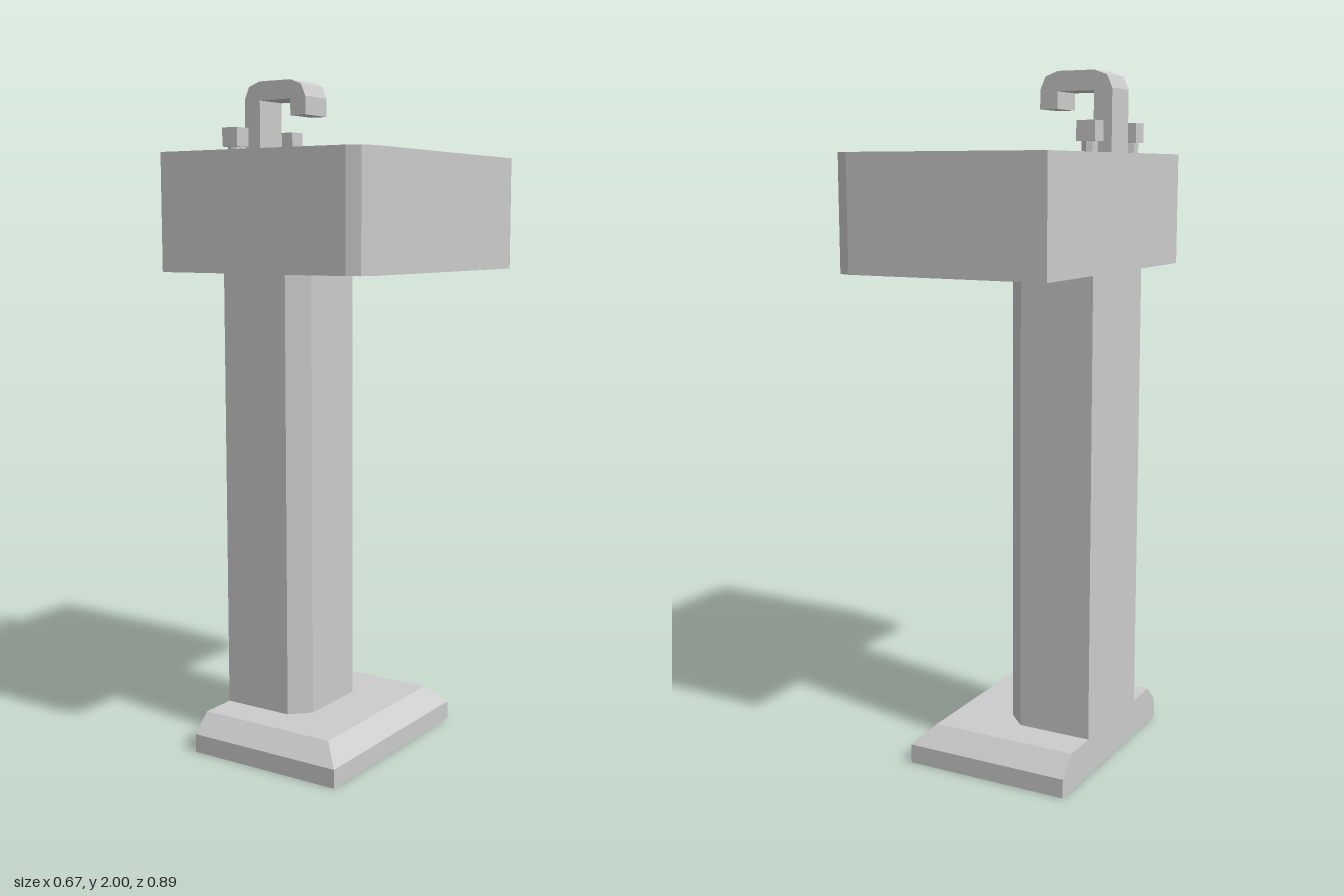
import * as THREE from 'three';

const material = new THREE.MeshStandardMaterial({ color: 0xcccccc, flatShading: true });
const BACK = -0.333;

function part(group, name, geometry, x = 0, y = 0, z = 0) {
  const mesh = new THREE.Mesh(geometry, material);
  mesh.name = name;
  mesh.position.set(x, y, z);
  group.add(mesh);
  return mesh;
}

// Corner points [x, z] of a rectangle, symmetric in z
const rect = (x0, x1, z) => [[x0, z], [x1, z], [x1, -z], [x0, -z]];

// Outline flat at the back; front corners follow the given +z side points
const mirrored = (half) => [...half, ...half.slice().reverse().map(([x, z]) => [x, -z])];

// Skin between horizontal outlines [points, y], optionally closed at either end
function loft(rings, capStart, capEnd) {
  const pos = [];
  const add = ([x, z], y) => pos.push(x, y, z);
  const n = rings[0][0].length;
  for (let r = 0; r < rings.length - 1; r++) {
    const [a, ya] = rings[r], [b, yb] = rings[r + 1];
    for (let i = 0; i < n; i++) {
      const j = (i + 1) % n;
      add(a[i], ya); add(a[j], ya); add(b[j], yb);
      add(a[i], ya); add(b[j], yb); add(b[i], yb);
    }
  }
  const [s, ys] = rings[0], [e, ye] = rings[rings.length - 1];
  for (let i = 1; i < n - 1; i++) {
    if (capStart) { add(s[0], ys); add(s[i + 1], ys); add(s[i], ys); }
    if (capEnd) { add(e[0], ye); add(e[i], ye); add(e[i + 1], ye); }
  }
  const g = new THREE.BufferGeometry();
  g.setAttribute('position', new THREE.Float32BufferAttribute(pos, 3));
  g.computeVertexNormals();
  return g;
}

const toVectors = (points) => points.map(([x, z]) => new THREE.Vector2(x, -z));

export function createModel() {
  const model = new THREE.Group();
  model.name = 'pedestalSink';

  // Foot plate, bevelled on three sides
  part(model, 'base', loft([
    [rect(BACK, 0.167, 0.333), 0],
    [rect(BACK, 0.167, 0.333), 0.056],
    [rect(BACK, 0.111, 0.278), 0.111],
  ], true, true));

  // Column with chamfered front edges
  const column = mirrored([[BACK, 0.167], [-0.111, 0.167], [-0.056, 0.111]]);
  part(model, 'pedestal', loft([[column, 0.111], [column, 1.45]], false, false));

  // Basin: outer shell, flat rim and sunken bowl
  const top = 1.778;
  const outline = mirrored([[BACK, 0.444], [0.278, 0.444], [0.316, 0.428], [0.333, 0.389]]);
  const opening = rect(-0.25, 0.305, 0.417);
  part(model, 'basinShell', loft([[outline, 1.447], [outline, top]], true, false));
  const rim = new THREE.Shape(toVectors(outline));
  rim.holes.push(new THREE.Path(toVectors(opening)));
  part(model, 'basinRim', new THREE.ShapeGeometry(rim).rotateX(-Math.PI / 2), 0, top, 0);
  part(model, 'bowl', loft([
    [opening, top],
    [rect(-0.232, 0.286, 0.398), top - 0.014],
    [rect(-0.225, 0.279, 0.389), 1.505],
  ], false, true));

  // Octagonal drain plug
  part(model, 'drain', new THREE.CylinderGeometry(0.056, 0.056, 0.1, 8), -0.056, 1.555, 0);

  // Hooked spout
  const spout = new THREE.Shape([
    [BACK, top], [-0.278, top], [-0.278, 1.945], [-0.167, 1.945], [-0.167, 1.897], [-0.113, 1.897],
    [-0.113, 1.95], [-0.129, 1.986], [-0.167, 2], [-0.278, 2], [-0.317, 1.986], [BACK, 1.95],
  ].map(([x, y]) => new THREE.Vector2(x, y)));
  part(model, 'spout',
    new THREE.ExtrudeGeometry(spout, { depth: 0.111, bevelEnabled: false }), 0, 0, -0.0555);

  // Tap handles, one on each side of the spout
  for (const side of [1, -1]) {
    const tap = new THREE.Group();
    tap.name = side > 0 ? 'leftTap' : 'rightTap';
    tap.position.set(-0.306, top, side * 0.139);
    part(tap, 'tapStem', new THREE.CylinderGeometry(0.023, 0.023, 0.03, 8), 0, 0.015, 0);
    part(tap, 'tapKnob', new THREE.BoxGeometry(0.055, 0.055, 0.055), 0, 0.056, 0);
    model.add(tap);
  }
  return model;
}
